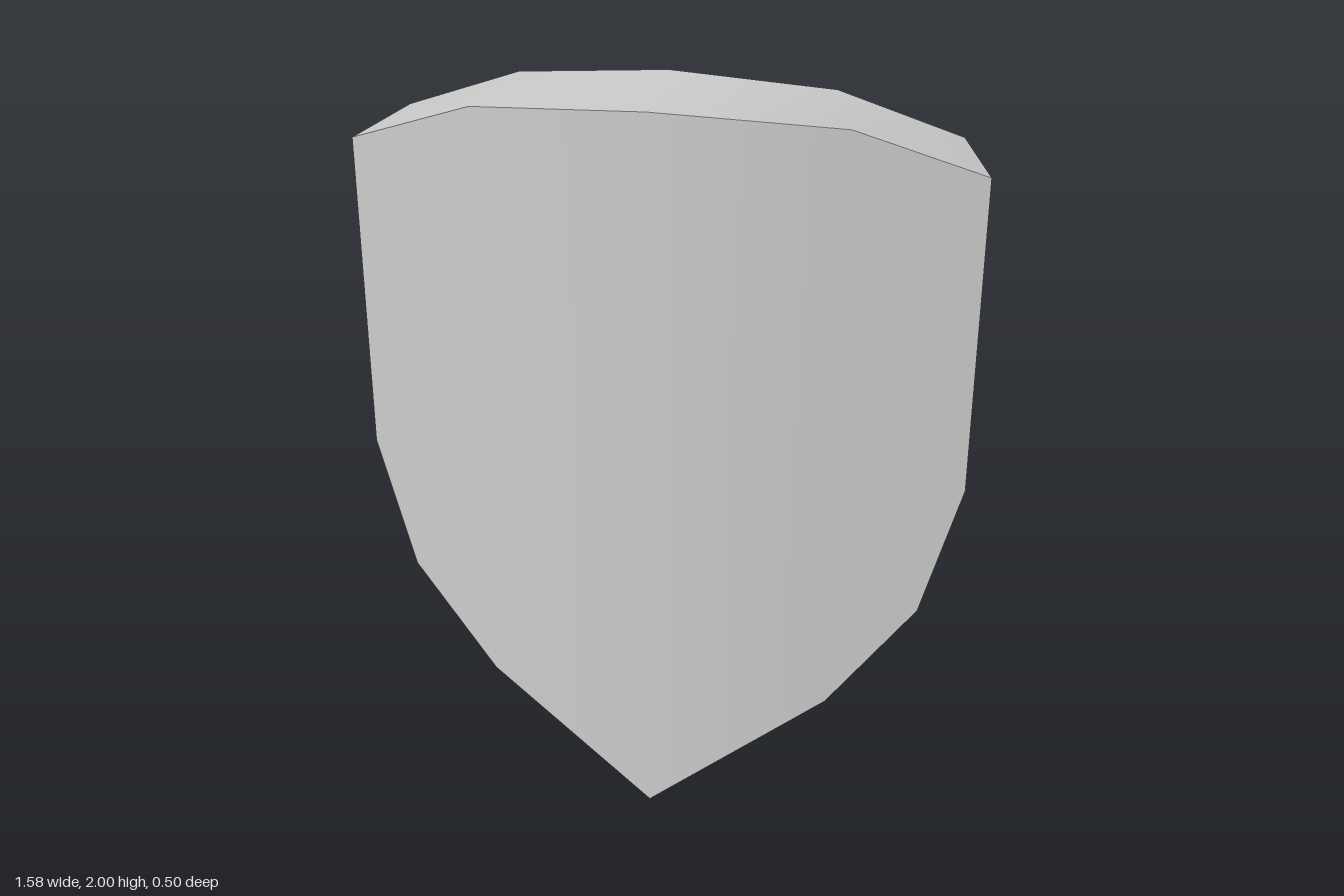
import * as THREE from 'three';
import { toCreasedNormals } from 'three/addons/utils/BufferGeometryUtils.js';

// Half outline from top centre to bottom tip: front x, front z, back x, back z, y
const HALF = [
  [0, 0.25, 0, -0.05, 2],
  [0.46, 0.11, 0.4, -0.16, 1.935],
  [0.79, 0.015, 0.715, -0.245, 1.8],
  [0.79, 0.015, 0.715, -0.245, 0.935],
  [0.69, 0.044, 0.62, -0.22, 0.57],
  [0.46, 0.11, 0.4, -0.16, 0.29],
  [0, 0.25, 0, -0.05, 0],
];
// Triangles that fill one half, clockwise seen from the front
const FILL = [[0, 1, 5], [0, 5, 6], [1, 2, 3], [1, 3, 4], [1, 4, 5]];

function shieldGeometry() {
  const mirrored = HALF.slice(1, 6).reverse().map(([fx, fz, bx, bz, y]) => [-fx, fz, -bx, bz, y]);
  const outline = [...HALF, ...mirrored];
  const n = outline.length;
  const positions = [
    ...outline.flatMap(([fx, fz, , , y]) => [fx, y, fz]),
    ...outline.flatMap(([, , bx, bz, y]) => [bx, y, bz]),
  ];
  const index = [];

  // Front and back faces, each half mirrored to the other side
  const other = (i) => (n - i) % n;
  for (const [a, b, c] of FILL) {
    index.push(a, c, b, other(a), other(b), other(c));
    index.push(n + a, n + b, n + c, n + other(a), n + other(c), n + other(b));
  }
  // Rim joining front and back
  for (let i = 0; i < n; i++) {
    const j = (i + 1) % n;
    index.push(i, j, n + j, i, n + j, n + i);
  }

  const geometry = new THREE.BufferGeometry();
  geometry.setAttribute('position', new THREE.Float32BufferAttribute(positions, 3));
  geometry.setIndex(index);
  return toCreasedNormals(geometry, THREE.MathUtils.degToRad(42));
}

export function createModel() {
  const group = new THREE.Group();
  group.name = 'shield';
  const grey = new THREE.MeshStandardMaterial({ color: 0xcccccc });
  grey.name = 'lightGrey';
  const plate = new THREE.Mesh(shieldGeometry(), grey);
  plate.name = 'shieldPlate';
  group.add(plate);
  return group;
}
